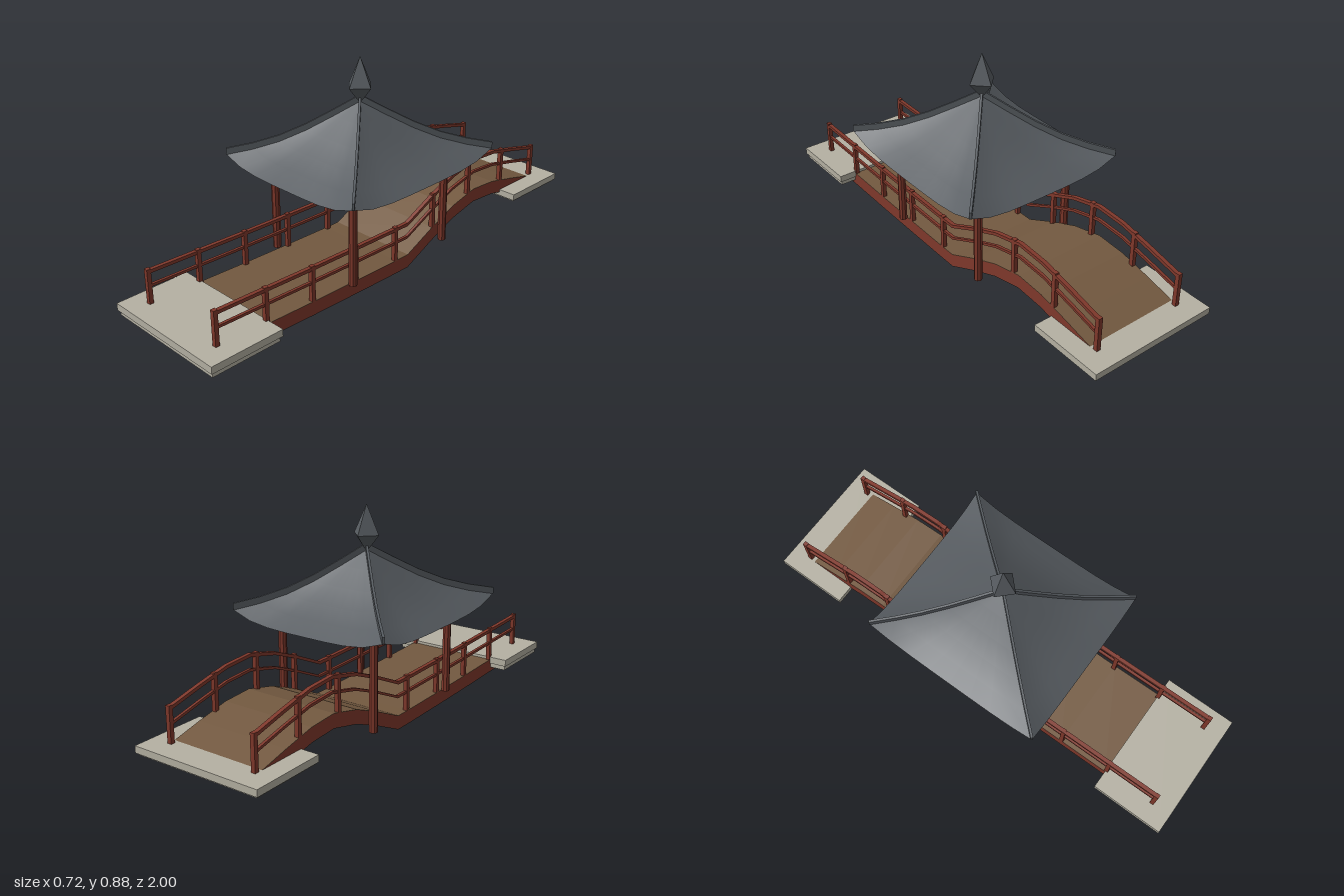
import * as THREE from 'three';

const mat = (name, color, side = THREE.FrontSide) => {
  const m = new THREE.MeshStandardMaterial({ color, side });
  m.name = name;
  return m;
};

// Walkway top line as (z, y), from the low front to the arched back
const PATH = [
  [0.91, 0.083], [0.68, 0.076], [0.455, 0.069], [0.23, 0.064], [0, 0.06], [-0.07, 0.06],
  [-0.22, 0.13], [-0.35, 0.183], [-0.49, 0.216], [-0.62, 0.208], [-0.76, 0.178], [-0.91, 0.142],
];
const pathY = (z) => {
  for (let i = 0; i < PATH.length - 1; i++) {
    const [z0, y0] = PATH[i], [z1, y1] = PATH[i + 1];
    if (z <= z0 && z >= z1) return y0 + (y1 - y0) * (z0 - z) / (z0 - z1);
  }
  return PATH[0][1];
};

// Roof: hip line heights from peak to corner, and eave half sizes
const HIP = [0.70, 0.64, 0.583, 0.537, 0.506, 0.485];
const ROOF_X = 0.36, ROOF_Z = 0.4, LIFT = 0.045;

// Upright band following a line of points, between two height offsets
function ribbon(points, low, high, width) {
  const pts = [
    ...points.map(([a, y]) => new THREE.Vector2(a, y + low)),
    ...[...points].reverse().map(([a, y]) => new THREE.Vector2(a, y + high)),
  ];
  const g = new THREE.ExtrudeGeometry(new THREE.Shape(pts), { depth: width, bevelEnabled: false });
  return g.translate(0, 0, -width / 2);
}

// One concave roof slope facing +z, with upswept corners
function slopeGeometry(halfWidth, reach) {
  const pos = [], idx = [], cols = 8, rows = HIP.length - 1;
  for (let i = 0; i <= rows; i++) {
    const t = i / rows;
    for (let j = 0; j <= cols; j++) {
      const u = (j / cols) * 2 - 1;
      pos.push(halfWidth * t * u, HIP[i] - LIFT * t * t * (1 - u ** 4), reach * t);
    }
  }
  for (let i = 0; i < rows; i++) {
    for (let j = 0; j < cols; j++) {
      const a = i * (cols + 1) + j, b = a + cols + 1;
      idx.push(a, b, b + 1);
      if (i > 0) idx.push(a, b + 1, a + 1);
    }
  }
  const g = new THREE.BufferGeometry();
  g.setAttribute('position', new THREE.Float32BufferAttribute(pos, 3));
  g.setIndex(idx);
  g.computeVertexNormals();
  return g;
}

// Rectangular ring standing between two heights
function frameGeometry(halfX, halfZ, wall, y0, y1) {
  const rect = (C, x, z) => {
    const s = new C();
    s.moveTo(-x, -z); s.lineTo(x, -z); s.lineTo(x, z); s.lineTo(-x, z); s.closePath();
    return s;
  };
  const shape = rect(THREE.Shape, halfX, halfZ);
  shape.holes.push(rect(THREE.Path, halfX - wall, halfZ - wall));
  const g = new THREE.ExtrudeGeometry(shape, { depth: y1 - y0, bevelEnabled: false });
  return g.rotateX(-Math.PI / 2).translate(0, y0, 0);
}

export function createModel() {
  const root = new THREE.Group();
  root.name = 'pavilionBridge';
  const red = mat('redWood', 0x80382b);
  const brown = mat('brownPlanks', 0x735940);
  const dark = mat('darkUnderside', 0x42403c);
  const stone = mat('paleStone', 0xb5b1a3);
  const teal = mat('tealBeam', 0x2f686a);
  const slate = mat('slateRoof', 0x565b60, THREE.DoubleSide);

  const add = (name, geometry, material, x = 0, y = 0, z = 0, parent = root) => {
    const m = new THREE.Mesh(geometry, material);
    m.name = name;
    m.position.set(x, y, z);
    parent.add(m);
    return m;
  };
  const along = (low, high, width) => ribbon(PATH, low, high, width).rotateY(-Math.PI / 2);

  // Walkway: beam body with a plank surface and a dark underside
  add('walkwayBeam', along(-0.058, -0.002, 0.412), red);
  add('walkwayPlanks', along(-0.002, 0, 0.412), brown);
  add('walkwayUnderside', along(-0.06, -0.058, 0.412), dark);

  // Railings on both sides
  for (const side of [1, -1]) {
    const rail = new THREE.Group();
    rail.name = side > 0 ? 'leftRailing' : 'rightRailing';
    root.add(rail);
    const x = side * 0.197;
    add('topRail', along(0.133, 0.147, 0.017), red, x, 0, 0, rail);
    add('middleRail', along(0.074, 0.085, 0.012), red, x, 0, 0, rail);
    for (let i = -4; i <= 4; i++) {
      const z = i * 0.2275;
      add('railPost', new THREE.BoxGeometry(0.018, 0.16, 0.018), red, x, pathY(z) + 0.071, z, rail);
    }
  }

  // Stepped stone landings, hollow underneath
  const landing = (name, z, top, step, bottom) => {
    const g = new THREE.Group();
    g.name = name;
    g.position.z = z;
    root.add(g);
    add('landingTop', new THREE.BoxGeometry(0.57, 0.008, 0.32), stone, 0, top - 0.004, 0, g);
    add('landingRim', frameGeometry(0.285, 0.16, 0.015, step, top - 0.008), stone, 0, 0, 0, g);
    add('landingFoot', frameGeometry(0.277, 0.152, 0.012, bottom, step), stone, 0, 0, 0, g);
  };
  landing('frontLanding', 0.84, 0.088, 0.058, 0.037);
  landing('backLanding', -0.84, 0.148, 0.12, 0.112);

  // Pavilion columns and ceiling beam
  for (const sx of [1, -1]) {
    for (const sz of [1, -1]) {
      const column = new THREE.CylinderGeometry(0.017, 0.017, 0.365, 8).toNonIndexed();
      column.computeVertexNormals();
      add('column', column, red, sx * 0.222, 0.2475, sz * 0.264);
    }
  }
  add('ceilingBeam', new THREE.BoxGeometry(0.484, 0.03, 0.566), teal, 0, 0.44, 0);

  // Four roof slopes
  for (let k = 0; k < 4; k++) {
    const g = k % 2 ? slopeGeometry(ROOF_Z, ROOF_X) : slopeGeometry(ROOF_X, ROOF_Z);
    add('roofSlope', g, slate).rotation.y = k * Math.PI / 2;
  }

  // Hip ridges running from the peak to each corner
  const reach = Math.hypot(ROOF_X, ROOF_Z) * 0.995;
  const hipLine = HIP.map((y, i) => [reach * i / (HIP.length - 1), y]);
  for (const sx of [1, -1]) {
    for (const sz of [1, -1]) {
      add('hipRidge', ribbon(hipLine, -0.002, 0.025, 0.01), slate).rotation.y =
        Math.atan2(-sz * ROOF_Z, sx * ROOF_X);
    }
  }

  // Four-sided finial
  const finial = new THREE.LatheGeometry(
    [[0.001, 0.69], [0.06, 0.762], [0.0005, 0.882]].map(([r, y]) => new THREE.Vector2(r, y)), 4).toNonIndexed();
  finial.computeVertexNormals();
  add('finial', finial, slate);

  return root;
}
